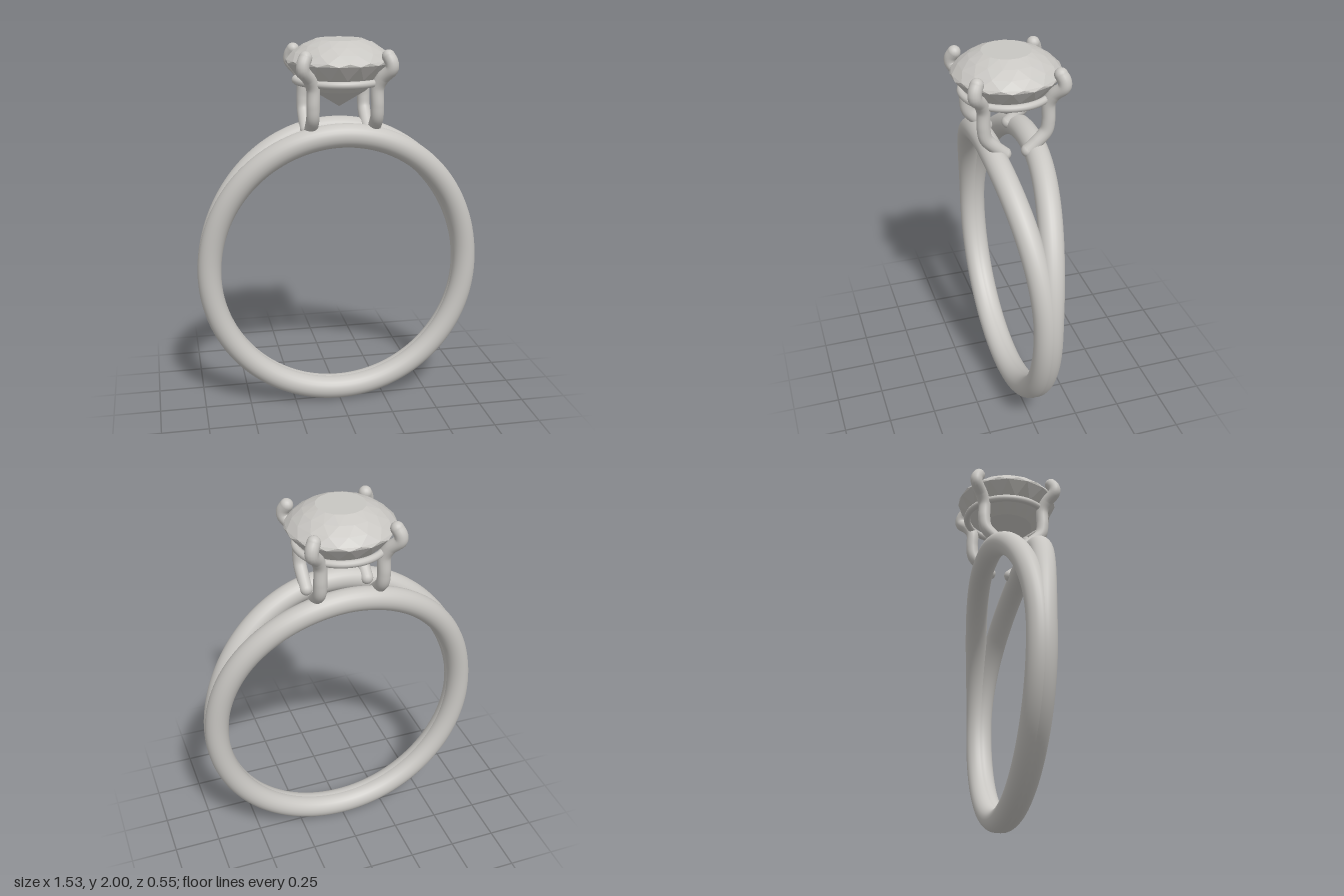
import * as THREE from 'three';
import { ConvexGeometry } from 'three/addons/geometries/ConvexGeometry.js';

const metal = new THREE.MeshStandardMaterial({ color: 0xc8c6c2 });
metal.name = 'pale silver';

function add(parent, name, geometry) {
  const mesh = new THREE.Mesh(geometry, metal);
  mesh.name = name;
  parent.add(mesh);
  return mesh;
}

// One strand of the split shank: a near-circle that drifts sideways towards the top
function strandGeometry(side) {
  const points = [];
  const n = 72;
  for (let i = 0; i < n; i++) {
    const a = (i / n) * Math.PI * 2; // measured from the bottom
    const up = -Math.cos(a);
    const fromTop = Math.abs(180 - (a * 180) / Math.PI);
    const t = THREE.MathUtils.smoothstep(90 - fromTop, 0, 85);
    points.push(new THREE.Vector3(
      0.703 * Math.sin(a),
      0.77 + up * (up > 0 ? 0.752 : 0.7075),
      side * (0.012 + 0.1 * t)
    ));
  }
  const curve = new THREE.CatmullRomCurve3(points, true);
  return new THREE.TubeGeometry(curve, 160, 0.0625, 24, true);
}

// Claw that leaves the strand, rises and hooks over the stone
function makeProng(sx, sz) {
  const prong = new THREE.Group();
  const r = 0.034;
  const path = [
    [0.165, 1.525, 0.06], [0.165, 1.565, 0.105], [0.165, 1.62, 0.155], [0.165, 1.68, 0.166],
    [0.165, 1.77, 0.166], [0.185, 1.82, 0.185], [0.223, 1.87, 0.222], [0.222, 1.9, 0.222], [0.208, 1.93, 0.208]
  ].map(([x, y, z]) => new THREE.Vector3(sx * x, y, sz * z));
  const curve = new THREE.CatmullRomCurve3(path, false, 'centripetal');
  add(prong, 'prongShaft', new THREE.TubeGeometry(curve, 48, r, 16));
  // rounded ends
  add(prong, 'prongFoot', new THREE.SphereGeometry(r, 16, 12)).position.copy(path[0]);
  add(prong, 'prongTip', new THREE.SphereGeometry(r, 16, 12)).position.copy(path[path.length - 1]);
  return prong;
}

// Brilliant-cut stone: rows of 16 corners, every other row turned half a step
function stoneGeometry() {
  const rows = [ // radius, height, half-step turn
    [0.125, 2.0, 0.5], [0.188, 1.973, 0], [0.238, 1.939, 0.5], [0.275, 1.902, 0],
    [0.278, 1.887, 0.5], [0.218, 1.812, 0], [0.143, 1.742, 0.5]
  ];
  const points = [new THREE.Vector3(0, 1.655, 0)];
  for (const [radius, y, turn] of rows) {
    for (let i = 0; i < 16; i++) {
      const a = ((i + turn) / 16) * Math.PI * 2;
      points.push(new THREE.Vector3(radius * Math.cos(a), y, radius * Math.sin(a)));
    }
  }
  return new ConvexGeometry(points);
}

export function createModel() {
  const ring = new THREE.Group();
  ring.name = 'ring';

  // Split band
  add(ring, 'frontStrand', strandGeometry(1));
  add(ring, 'backStrand', strandGeometry(-1));

  // Gallery hoop under the stone
  const hoop = add(ring, 'galleryHoop', new THREE.TorusGeometry(0.226, 0.019, 12, 64));
  hoop.rotation.x = Math.PI / 2;
  hoop.position.y = 1.793;

  // Four prongs
  for (const sx of [1, -1]) {
    for (const sz of [1, -1]) {
      const prong = makeProng(sx, sz);
      prong.name = (sz > 0 ? 'front' : 'back') + (sx > 0 ? 'Left' : 'Right') + 'Prong';
      ring.add(prong);
    }
  }

  add(ring, 'stone', stoneGeometry());
  return ring;
}
